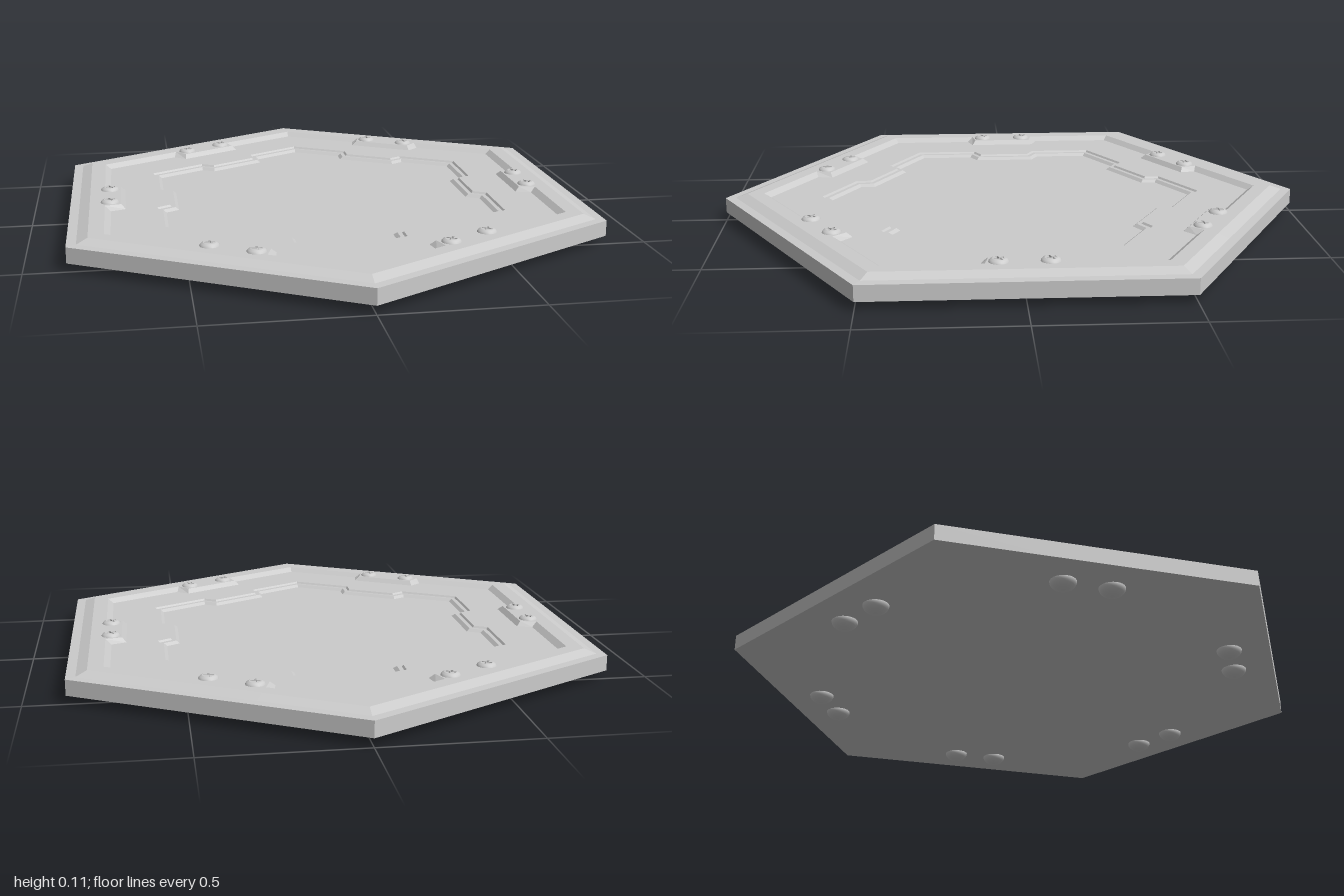
import * as THREE from 'three';

const material = new THREE.MeshStandardMaterial({ color: 0xcccccc });
const flatMaterial = new THREE.MeshStandardMaterial({ color: 0xcccccc, flatShading: true });
const STEP = Math.PI / 3;

// Hexagon outline whose sides each have a notch: a = side distance, n = notch distance,
// wide / narrow = half widths of the notch at its mouth and at its floor
function outline({ y, a, n = a, wide = 0.13, narrow = 0.115 }) {
  const points = [];
  for (let k = 0; k < 6; k++) {
    const c = Math.cos(k * STEP), s = Math.sin(k * STEP);
    const side = [[a, -a * Math.tan(STEP / 2)], [a, -wide], [n, -narrow], [n, narrow], [a, wide]];
    for (const [r, t] of side) points.push(new THREE.Vector3(r * c - t * s, y, r * s + t * c));
  }
  return points;
}

// Skin between successive outlines, with hard edges; a = 0 closes to the centre
function loft(levels) {
  const rings = levels.map((l) =>
    l.a ? outline(l) : Array.from({ length: 30 }, () => new THREE.Vector3(0, l.y, 0)));
  const tris = [];
  for (let j = 0; j + 1 < rings.length; j++) {
    for (let i = 0; i < 30; i++) {
      const k = (i + 1) % 30;
      const a = rings[j][i], b = rings[j][k], c = rings[j + 1][k], d = rings[j + 1][i];
      if (!c.equals(d)) tris.push(a, d, c);
      if (!a.equals(b)) tris.push(a, c, b);
    }
  }
  const geometry = new THREE.BufferGeometry().setFromPoints(tris);
  geometry.computeVertexNormals();
  return geometry;
}

function add(parent, name, geometry, mat = material) {
  const mesh = new THREE.Mesh(geometry, mat);
  mesh.name = name;
  parent.add(mesh);
  return mesh;
}

// Disc pierced by a cross-shaped slot
function crossDisc(radius, arm, half, depth) {
  const shape = new THREE.Shape().absarc(0, 0, radius, 0, Math.PI * 2, false);
  const hole = [];
  for (let k = 0; k < 4; k++) {
    for (const [x, y] of [[arm, -half], [arm, half], [half, half]]) {
      hole.push(new THREE.Vector2(x, y).rotateAround(new THREE.Vector2(), k * Math.PI / 2));
    }
  }
  shape.holes.push(new THREE.Path(hole.reverse()));
  return new THREE.ExtrudeGeometry(shape, { depth, bevelEnabled: false, curveSegments: 12 })
    .rotateX(-Math.PI / 2);
}

export function createModel() {
  const model = new THREE.Group();
  model.name = 'hexagonalPanel';

  // Slab: underside, edge, bevelled rim, recess with bolt tabs, stepped centre panel
  add(model, 'panelBody', loft([
    { y: 0.028, a: 0 },
    { y: 0.028, a: 0.866 },
    { y: 0.08, a: 0.866 },
    { y: 0.081, a: 0.835 },
    { y: 0.095, a: 0.80 },
    { y: 0.095, a: 0.75, n: 0.695, wide: 0.12, narrow: 0.108 },
    { y: 0.08, a: 0.73, n: 0.68, wide: 0.138, narrow: 0.12 },
    { y: 0.08, a: 0.575, n: 0.532, wide: 0.115, narrow: 0.09 },
    { y: 0.074, a: 0.57, n: 0.527, wide: 0.118, narrow: 0.093 },
    { y: 0.074, a: 0.556, n: 0.513, wide: 0.126, narrow: 0.101 },
    { y: 0.065, a: 0.545, n: 0.502, wide: 0.132, narrow: 0.107 },
    { y: 0.065, a: 0 },
  ]));

  // Two bolts through each side: slotted head above, round head below
  const skirt = new THREE.LatheGeometry(
    [[0.032, 0.093], [0.031, 0.097], [0.027, 0.102], [0.02, 0.1055]]
      .map(([r, y]) => new THREE.Vector2(r, y)), 24);
  const slotted = crossDisc(0.02, 0.017, 0.004, 0.0075).translate(0, 0.098, 0);
  const floor = new THREE.CircleGeometry(0.022, 16).rotateX(-Math.PI / 2).translate(0, 0.0985, 0);
  const dome = new THREE.SphereGeometry(0.042, 24, 8, 0, Math.PI * 2, Math.PI / 2, Math.PI / 2)
    .scale(1, 0.028 / 0.042, 1).translate(0, 0.028, 0);

  for (let k = 0; k < 6; k++) {
    const side = new THREE.Group();
    side.name = 'sideBolts';
    side.rotation.y = k * STEP;
    for (const z of [-0.078, 0.078]) {
      const bolt = new THREE.Group();
      bolt.name = 'bolt';
      bolt.position.set(0.732, 0, z);
      bolt.rotation.y = 0.5;
      add(bolt, 'boltHeadRim', skirt);
      add(bolt, 'boltHeadSlot', slotted, flatMaterial);
      add(bolt, 'boltSlotFloor', floor);
      add(bolt, 'boltUnderside', dome);
      side.add(bolt);
    }
    model.add(side);
  }
  return model;
}
